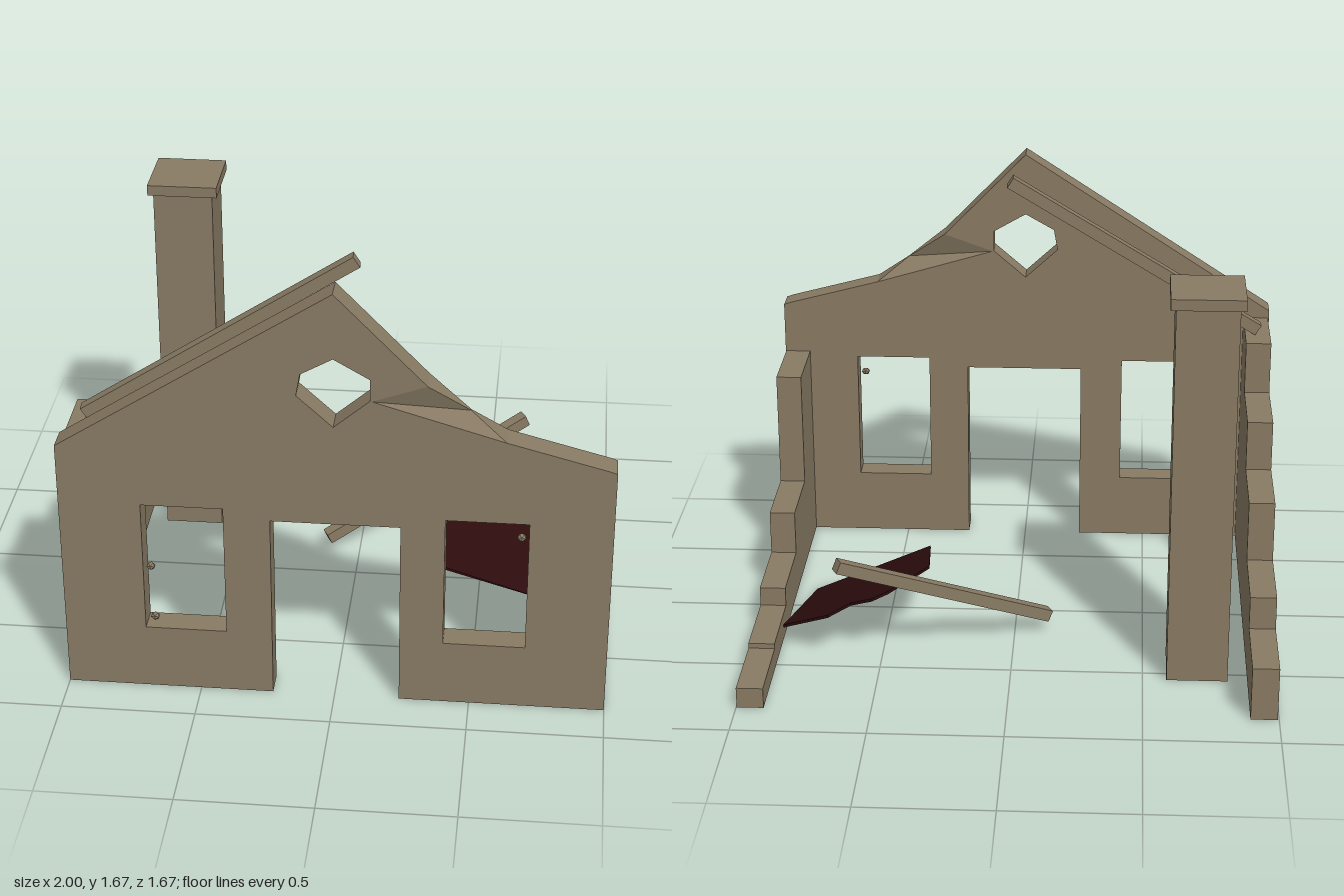
import * as THREE from 'three';

export function createModel() {
  const model = new THREE.Group();
  model.name = 'ruinedHouse';
  const stone = new THREE.MeshStandardMaterial({ color: 0x897b64, flatShading: true });
  stone.name = 'weathered stone';
  const slate = new THREE.MeshStandardMaterial({ color: 0x2d0c0e, flatShading: true });
  slate.name = 'dark red roofing';

  const add = (name, geometry, material = stone) => {
    const mesh = new THREE.Mesh(geometry, material);
    mesh.name = name;
    model.add(mesh);
    return mesh;
  };
  const vec = (pts) => pts.map(([x, y]) => new THREE.Vector2(x, y));
  const extrude = (shape, depth) => new THREE.ExtrudeGeometry(shape, { depth, bevelEnabled: false });
  // Box given by its minimum and maximum corners
  const box = (name, a, b) =>
    add(name, new THREE.BoxGeometry(b[0] - a[0], b[1] - a[1], b[2] - a[2]))
      .position.set((a[0] + b[0]) / 2, (a[1] + b[1]) / 2, (a[2] + b[2]) / 2);

  // Front wall with doorway, two windows, a round window and a broken gable
  const back = 0.735, front = 0.833;
  const wall = new THREE.Shape(vec([
    [-1, 0], [-0.23, 0], [-0.23, 0.75], [0.24, 0.75], [0.24, 0], [1, 0], [1, 1.015],
    [0.97, 1.025], [0.61, 1.12], [0.135, 1.26], [0.33, 1.33], [0, 1.67], [-1, 1.02],
  ]));
  for (const x of [-0.7, 0.4]) {
    wall.holes.push(new THREE.Path(vec([
      [x, 0.26], [x, 0.79], [x + 0.3, 0.79], [x + 0.3, 0.26],
    ])));
  }
  wall.holes.push(new THREE.Path(vec([
    [0, 1.42], [0.13, 1.345], [0.13, 1.262], [0, 1.15], [-0.13, 1.27], [-0.115, 1.355],
  ])));
  add('frontWall', extrude(wall, front - back)).position.z = back;

  // Chipped masonry in the gable: faces sink towards a nick in the broken edge
  const corners = [[0.135, 1.26, 0], [0.33, 1.33, 0], [0.61, 1.12, 0], [0.48, 1.22, 0.045]];
  const chip = new THREE.BufferGeometry();
  chip.setAttribute('position', new THREE.Float32BufferAttribute([
    ...corners.flatMap(([x, y, d]) => [x, y, front - d]),
    ...corners.flatMap(([x, y, d]) => [x, y, back + d]),
  ], 3));
  chip.setIndex([
    0, 3, 1, 0, 2, 3, // front
    4, 5, 7, 4, 7, 6, // back
    1, 3, 7, 1, 7, 5, 3, 2, 6, 3, 6, 7, // broken top edge
  ]);
  const chipFaces = chip.toNonIndexed();
  chipFaces.computeVertexNormals();
  add('chippedGable', chipFaces);

  // Side walls crumbling in steps towards the back
  const cuts = [0.735, 0.435, 0.12, -0.2, -0.52, -0.833];
  const sideWall = (name, x, heights) => {
    const pts = [[-cuts[5], 0], [-cuts[0], 0]];
    heights.forEach((h, i) => pts.push([-cuts[i], h], [-cuts[i + 1], h]));
    const geometry = extrude(new THREE.Shape(vec(pts.reverse())), 0.1);
    geometry.rotateY(Math.PI / 2);
    add(name, geometry).position.x = x;
  };
  sideWall('leftWall', 0.898, [0.81, 0.35, 0.175, 0.1, 0.08]);
  sideWall('rightWall', -0.995, [0.99, 0.78, 0.58, 0.34, 0.21]);

  // Chimney
  box('chimneyStack', [-0.82, 0, -0.55], [-0.59, 1.49, -0.317]);
  box('chimneyCap', [-0.84, 1.49, -0.572], [-0.57, 1.532, -0.302]);

  // Fallen roof beams
  const beam = (name, from, to) => {
    const a = new THREE.Vector3(...from), b = new THREE.Vector3(...to);
    const mesh = add(name, new THREE.BoxGeometry(0.047, 0.047, a.distanceTo(b)));
    mesh.position.lerpVectors(a, b, 0.5);
    mesh.lookAt(b);
  };
  beam('fallenBeam', [-0.13, 0.065, -0.155], [0.65, 0.445, -0.54]);
  beam('leaningBeam', [-0.945, 1.01, 0.555], [0.05, 1.635, 0.483]);

  // Broken piece of roofing lying tilted against the left wall
  const sheet = extrude(new THREE.Shape(vec([
    [0.36, -0.2], [0.82, -0.15], [0.89, 0.34], [0.7, 0.46], [0.62, 0.385], [0.53, 0.45],
    [0.47, 0.42], [0.33, 0.21],
  ])), 0.012);
  sheet.rotateX(-Math.PI / 2);
  const p = sheet.attributes.position;
  for (let i = 0; i < p.count; i++) {
    const tilt = 0.28 - 0.42 * (p.getX(i) - 0.33) - 0.24 * (p.getZ(i) + 0.21);
    p.setY(i, Math.max(0, p.getY(i) + tilt));
  }
  sheet.computeVertexNormals();
  add('brokenRoofing', sheet, slate);

  // Small stone fragments left in the window openings
  [[-0.68, 0.5], [-0.672, 0.28], [0.673, 0.705]].forEach(([x, y], i) => {
    const bit = add('windowFragment' + (i + 1), new THREE.IcosahedronGeometry(0.018));
    bit.position.set(x, y, 0.785);
    bit.scale.y = 0.85;
  });

  return model;
}
